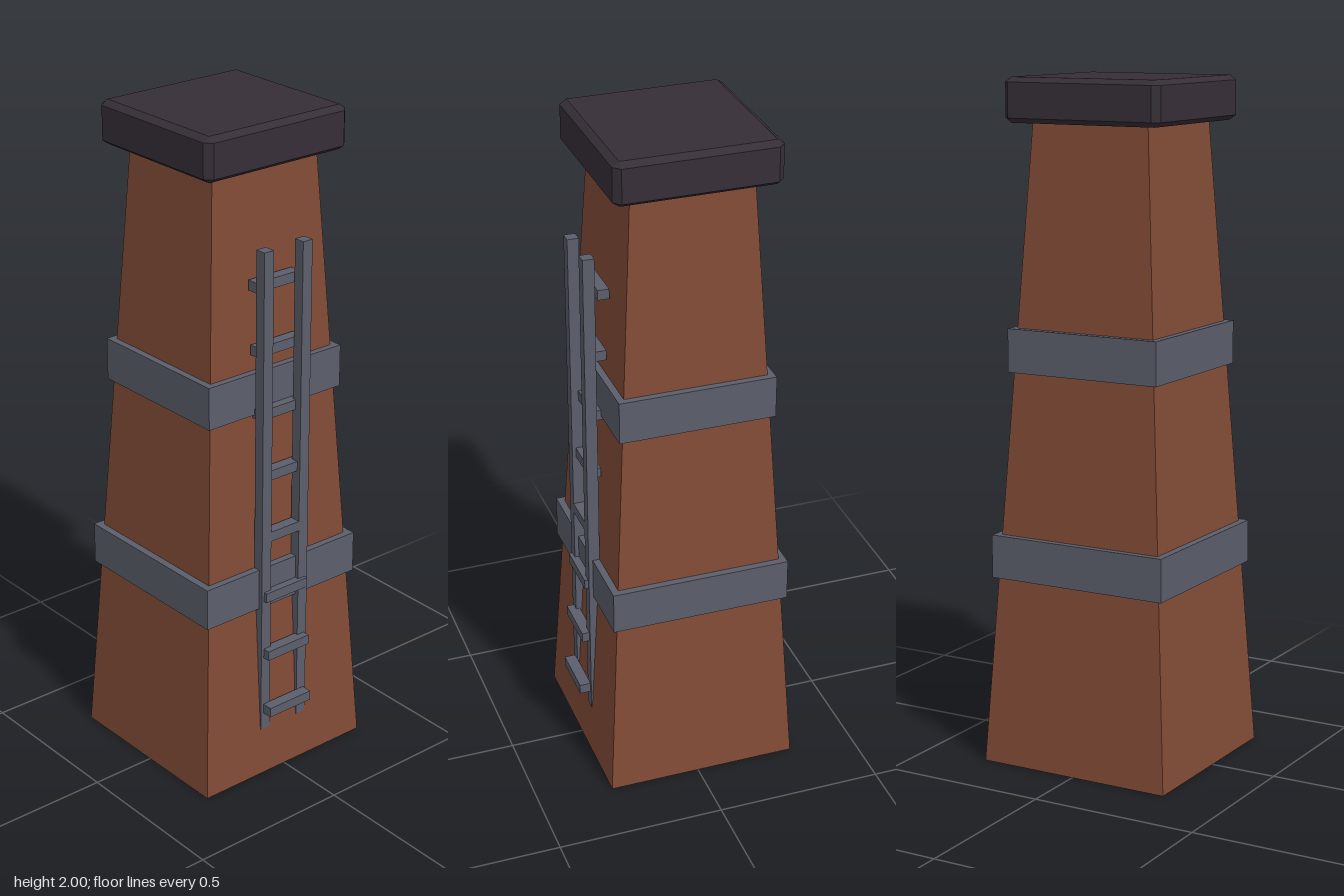
import * as THREE from 'three';
import { ConvexGeometry } from 'three/addons/geometries/ConvexGeometry.js';

const mat = (name, color) => {
  const m = new THREE.MeshStandardMaterial({ color });
  m.name = name;
  return m;
};

export function createModel() {
  const brick = mat('brick brown', 0x824b36);
  const metal = mat('grey metal', 0x5b5e6b);
  const dark = mat('dark cap', 0x362e37);

  const root = new THREE.Group();
  root.name = 'chimney';
  const CZ = -0.0135; // centre of the shaft in z

  const add = (parent, name, geometry, material, x, y, z) => {
    const mesh = new THREE.Mesh(geometry, material);
    mesh.name = name;
    mesh.position.set(x, y, z);
    parent.add(mesh);
    return mesh;
  };

  // Tapered shaft: a box whose upper corners are pulled inwards
  const shaftHeight = 1.9;
  const shaft = new THREE.BoxGeometry(0.6, shaftHeight, 0.576);
  const p = shaft.attributes.position;
  for (let i = 0; i < p.count; i++) {
    if (p.getY(i) > 0) {
      p.setX(i, p.getX(i) * 0.615);
      p.setZ(i, p.getZ(i) * 0.615);
    }
  }
  shaft.computeVertexNormals();
  add(root, 'shaft', shaft, brick, 0, shaftHeight / 2, CZ);

  // Metal bands
  add(root, 'lowerBand', new THREE.BoxGeometry(0.561, 0.127, 0.538), metal, 0, 0.621, CZ);
  add(root, 'upperBand', new THREE.BoxGeometry(0.485, 0.127, 0.466), metal, 0, 1.225, CZ);

  // Cap with chamfered edges: three corner points at each corner
  const [hx, hy, hz] = [0.25, 0.064, 0.241];
  const [bx, by, bz] = [0.02, 0.014, 0.02];
  const points = [];
  for (const sx of [-1, 1]) for (const sy of [-1, 1]) for (const sz of [-1, 1]) {
    points.push(
      new THREE.Vector3(sx * hx, sy * (hy - by), sz * (hz - bz)),
      new THREE.Vector3(sx * (hx - bx), sy * hy, sz * (hz - bz)),
      new THREE.Vector3(sx * (hx - bx), sy * (hy - by), sz * hz)
    );
  }
  add(root, 'cap', new ConvexGeometry(points), dark, 0, 2 - hy, CZ);

  // Ladder: upright rails, rungs following the slope of the wall
  const ladder = new THREE.Group();
  ladder.name = 'ladder';
  root.add(ladder);
  const rail = new THREE.BoxGeometry(0.034, 1.51, 0.034);
  add(ladder, 'rightRail', rail, metal, -0.071, 0.905, 0.251);
  add(ladder, 'leftRail', rail, metal, 0.068, 0.905, 0.251);
  const rung = new THREE.BoxGeometry(0.156, 0.03, 0.034);
  for (let i = 0; i < 8; i++) {
    add(ladder, 'rung', rung, metal, -0.001, 0.22 + i * 0.189, 0.284 - i * 0.011);
  }

  return root;
}
